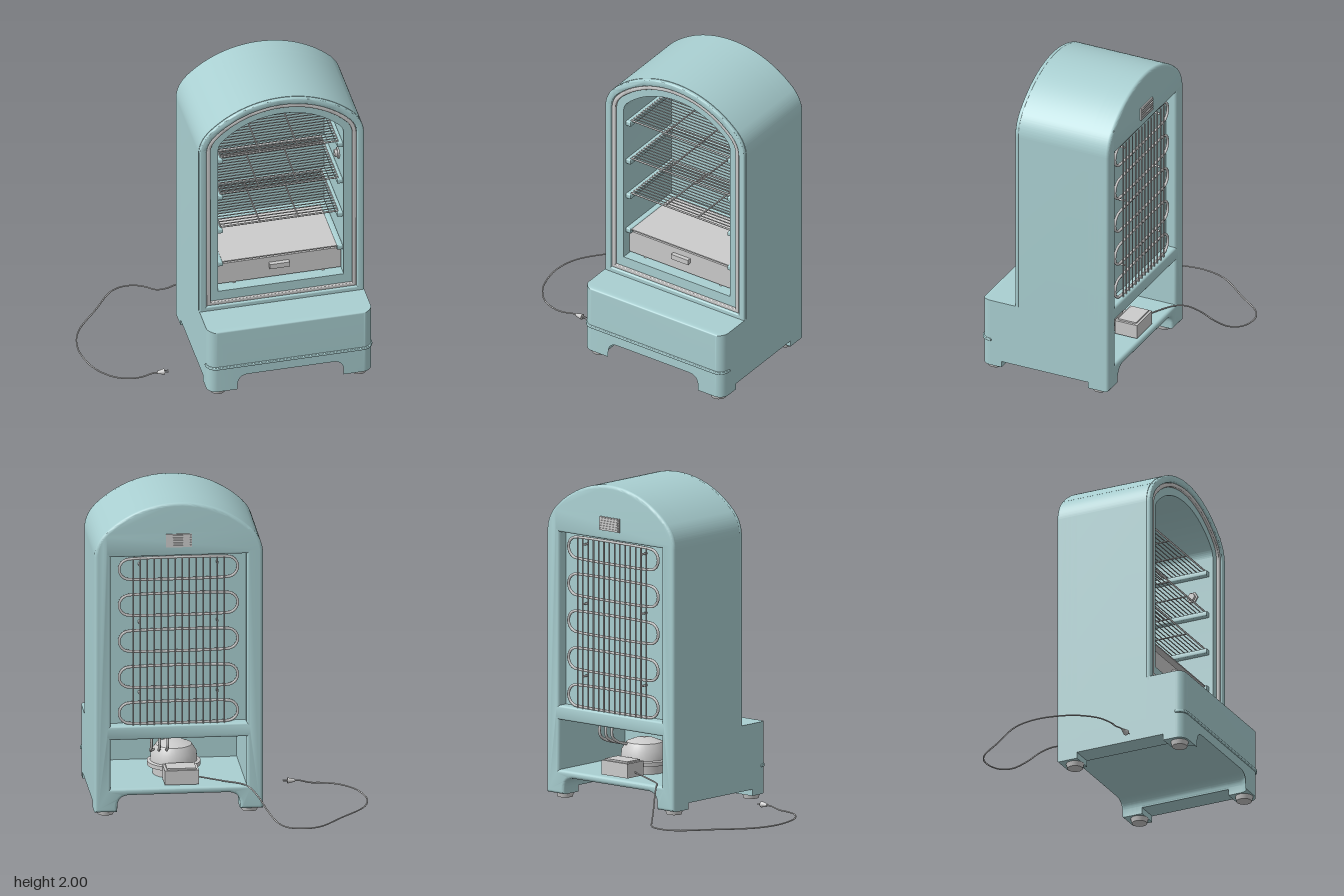
import * as THREE from 'three';
import { toCreasedNormals } from 'three/addons/utils/BufferGeometryUtils.js';

const teal = new THREE.MeshStandardMaterial({ color: 0xa9cfd1 });
const grey = new THREE.MeshStandardMaterial({ color: 0xcccccc });

const H = 0.518;          // half width of the cabinet
const BIG = 0.647;        // radius of the crown
const SHOULDER = 0.21;    // radius of the shoulders
const SY = 1.662;         // height where the shoulders begin

function mesh(name, geometry, material, x = 0, y = 0, z = 0) {
  const m = new THREE.Mesh(geometry, material);
  m.name = name;
  m.position.set(x, y, z);
  return m;
}
const box = (name, w, h, d, mat, x, y, z) => mesh(name, new THREE.BoxGeometry(w, h, d), mat, x, y, z);
const V = (x, y, z) => new THREE.Vector3(x, y, z);

function tube(name, pts, r, mat, closed = false, segs = 80) {
  const curve = new THREE.CatmullRomCurve3(pts, closed, 'centripetal');
  return mesh(name, new THREE.TubeGeometry(curve, segs, r, 6, closed), mat);
}

// Thin straight wire along x, y or z
function rod(name, axis, length, r, mat, x, y, z) {
  const g = new THREE.CylinderGeometry(r, r, length, 6);
  if (axis === 'x') g.rotateZ(Math.PI / 2);
  if (axis === 'z') g.rotateX(Math.PI / 2);
  return mesh(name, g, mat, x, y, z);
}

// Extrude along z from z0 to z1, with optional rounded edges inside that span
function slab(name, shape, z0, z1, mat, bevel = 0) {
  const g = new THREE.ExtrudeGeometry(shape, {
    depth: z1 - z0 - 2 * bevel, curveSegments: 20, bevelEnabled: bevel > 0,
    bevelThickness: bevel, bevelSize: bevel, bevelOffset: -bevel, bevelSegments: 4,
  });
  g.translate(0, 0, z0 + bevel);
  return mesh(name, toCreasedNormals(g, 0.6), mat);
}

// Crown and shoulders, inset by d, drawn from right to left
function crown(s, d) {
  const q = Math.PI / 4, c = H - SHOULDER;
  s.lineTo(H - d, SY);
  s.absarc(c, SY, SHOULDER - d, 0, q, false);
  s.absarc(0, 2 - BIG, BIG - d, q, 3 * q, false);
  s.absarc(-c, SY, SHOULDER - d, 3 * q, Math.PI, false);
}
function arch(d, bottom) {
  const s = new THREE.Shape();
  s.moveTo(-H + d, bottom);
  s.lineTo(H - d, bottom);
  crown(s, d);
  s.closePath();
  return s;
}
// Cabinet section standing on legs; flat top if a height is given
function section(foot, holes = [], top = 0) {
  const s = new THREE.Shape();
  s.moveTo(-H, foot);
  s.lineTo(-0.378, foot);
  s.lineTo(-0.377, 0.071);
  s.quadraticCurveTo(-0.37, 0.135, -0.3, 0.135);
  s.lineTo(0.3, 0.135);
  s.quadraticCurveTo(0.37, 0.135, 0.377, 0.071);
  s.lineTo(0.378, foot);
  s.lineTo(H, foot);
  if (top) { s.lineTo(H, top); s.lineTo(-H, top); } else crown(s, 0);
  s.closePath();
  s.holes.push(...holes);
  return s;
}
function rect(w, y0, y1) {
  const p = new THREE.Shape();
  p.moveTo(-w, y0); p.lineTo(w, y0); p.lineTo(w, y1); p.lineTo(-w, y1);
  p.closePath();
  return p;
}
function ring(outer, inner) {
  outer.holes.push(inner);
  return outer;
}

function cabinet() {
  const g = new THREE.Group();
  g.name = 'cabinet';
  const recess = rect(0.418, 0.58, 1.66), bay = rect(0.418, 0.18, 0.49), inside = arch(0.123, 0.6);
  g.add(slab('backFrame', section(0.03, [recess, bay]), -0.26, -0.218, teal, 0.02));
  g.add(slab('coilRecess', section(0.03, [recess, bay]), -0.239, -0.19, teal));
  g.add(slab('backPanel', section(0.03, [bay]), -0.19, -0.16, teal));
  g.add(slab('rearLegSection', section(0.03, [inside, bay]), -0.16, -0.12, teal));
  g.add(slab('shell', section(0.07, [inside, bay]), -0.12, 0.355, teal));
  g.add(slab('frontRim', ring(arch(0, 0.46), arch(0.045, 0.51)), 0.352, 0.38, teal, 0.01));
  g.add(slab('doorGasket', ring(arch(0.046, 0.511), arch(0.072, 0.535)), 0.352, 0.372, grey, 0.006));
  return g;
}

function base() {
  const g = new THREE.Group();
  g.name = 'base';
  g.add(slab('baseMiddle', section(0.07, [], 0.48), 0.355, 0.47, teal));
  g.add(slab('baseLegSection', section(0.03, [], 0.48), 0.47, 0.55, teal));
  // Front part: the vertical corners curve round in plan, the top edge softens
  const r = 0.06;
  const geo = new THREE.ExtrudeGeometry(section(0.03, [], 0.48), { depth: 1, steps: 10, bevelEnabled: false });
  const p = geo.attributes.position;
  for (let i = 0; i < p.count; i++) {
    const a = p.getZ(i) * Math.PI / 2, drop = 1 - Math.cos(a);
    p.setX(i, p.getX(i) * (H - r * drop) / H);
    if (p.getY(i) > 0.4) p.setY(i, p.getY(i) - 0.014 * drop ** 2);
    p.setZ(i, 0.55 + r * Math.sin(a));
  }
  g.add(mesh('baseFront', toCreasedNormals(geo, 0.6), teal));
  // Trim strip wrapped round the front
  const w = H + 0.008, s = new THREE.Shape();
  s.moveTo(-w, -0.54);
  s.absarc(-w + 0.07, -0.55, 0.07, Math.PI, 1.5 * Math.PI, false);
  s.absarc(w - 0.07, -0.55, 0.07, 1.5 * Math.PI, 2 * Math.PI, false);
  s.lineTo(w, -0.54);
  s.closePath();
  const trim = slab('trimStrip', s, 0, 0.018, teal, 0.005);
  trim.rotation.x = -Math.PI / 2;
  trim.position.y = 0.197;
  g.add(trim);
  for (const x of [-0.443, 0.443]) for (const z of [-0.17, 0.545]) {
    g.add(mesh('foot', new THREE.CylinderGeometry(0.055, 0.047, 0.032, 24), grey, x, 0.016, z));
  }
  return g;
}

function interior() {
  const g = new THREE.Group();
  g.name = 'interior';
  // U-shaped ledge along both sides and the back
  const u = new THREE.Shape([[-0.398, -0.33], [-0.36, -0.33], [-0.36, 0.12], [0.36, 0.12], [0.36, -0.33],
    [0.398, -0.33], [0.398, 0.163], [-0.398, 0.163]].map(([x, y]) => new THREE.Vector2(x, y)));
  [1.54, 1.265, 1.013, 0.765].forEach((y, level) => {
    const ledge = slab('shelfLedge', u, 0, 0.035, teal, 0.008);
    ledge.rotation.x = -Math.PI / 2;
    ledge.position.y = y;
    g.add(ledge);
    if (level === 3) {
      g.add(box('solidShelf', 0.74, 0.008, 0.46, grey, 0, y + 0.026, 0.09));
      return;
    }
    // Wire rack
    const rack = new THREE.Group();
    rack.name = 'wireRack';
    rack.position.set(0, y + 0.037, 0.09);
    for (let i = 0; i <= 16; i++) {
      const end = i % 16 === 0;
      rack.add(rod('rackWire', 'x', 0.74, end ? 0.006 : 0.0035, grey, 0, 0, -0.22 + i * 0.0275));
    }
    for (const x of [-0.37, -0.12, 0.12, 0.37]) rack.add(rod('rackBar', 'z', 0.44, 0.005, grey, x, -0.005, 0));
    g.add(rack);
  });
  // Drawer
  g.add(box('drawer', 0.78, 0.148, 0.43, grey, 0, 0.69, 0.085));
  g.add(box('drawerHandle', 0.125, 0.034, 0.03, grey, 0, 0.708, 0.312));
  for (const x of [-0.28, 0.28]) g.add(rod('drawerRunner', 'z', 0.4, 0.01, grey, x, 0.607, 0.09));
  // Lamp on the back wall and dial on the side wall
  const lamp = new THREE.CylinderGeometry(0.06, 0.06, 0.02, 32).rotateX(Math.PI / 2);
  g.add(mesh('lamp', lamp, grey, 0, 1.73, -0.153));
  g.add(rod('dialPlate', 'x', 0.012, 0.036, grey, 0.39, 1.42, 0.22));
  g.add(rod('dialKnob', 'x', 0.03, 0.024, grey, 0.382, 1.42, 0.22));
  return g;
}

function machinery() {
  const g = new THREE.Group();
  g.name = 'coolingUnit';
  // Looped condenser tubes
  for (let i = 0; i < 5; i++) {
    const y = 1.575 - i * 0.23, loop = [], r = 0.065;
    for (const side of [1, -1]) for (let k = 0; k <= 8; k++) {
      const a = -Math.PI / 2 + k * Math.PI / 8;
      loop.push(V(side * (0.3 + r * Math.cos(a)), y + side * r * Math.sin(a), -0.228));
    }
    g.add(tube('condenserLoop', loop, 0.009, grey, true, 96));
  }
  for (let i = 0; i < 14; i++) g.add(rod('condenserWire', 'y', 1.06, 0.005, grey, -0.28 + i * 0.043, 1.11, -0.242));
  for (const x of [-0.24, 0.24]) for (const y of [0.78, 1.23, 1.6]) g.add(rod('coilBracket', 'z', 0.05, 0.007, grey, x, y, -0.21));
  // Compressor dome
  const dome = [[0, 0.18], [0.13, 0.18], [0.13, 0.23], [0.165, 0.235], [0.165, 0.26], [0.145, 0.265], [0.14, 0.32], [0.11, 0.365], [0.06, 0.385], [0, 0.39]];
  const lathe = new THREE.LatheGeometry(dome.map(([x, y]) => new THREE.Vector2(x, y)), 32);
  g.add(mesh('compressor', toCreasedNormals(lathe, 0.6), grey, 0, 0, 0.06));
  g.add(box('controlBox', 0.21, 0.09, 0.15, grey, -0.02, 0.235, -0.165));
  g.add(box('controlBoxLid', 0.18, 0.012, 0.12, grey, -0.02, 0.284, -0.165));
  for (const x of [0.06, 0.11, 0.16]) {
    g.add(tube('coolantPipe', [V(x, 0.5, -0.17), V(x, 0.42, -0.17), V(x, 0.38, -0.12), V(x * 0.8, 0.34, 0.03)], 0.009, grey, false, 20));
  }
  // Back vent
  g.add(box('ventPlate', 0.16, 0.085, 0.012, grey, 0, 1.76, -0.262));
  for (let i = 0; i < 5; i++) g.add(box('ventSlat', 0.15, 0.008, 0.014, grey, 0, 1.728 + i * 0.016, -0.267));
  return g;
}

function powerCord() {
  const g = new THREE.Group();
  g.name = 'powerCord';
  const path = [[0.21, 0.22, -0.17], [0.05, 0.195, -0.2], [-0.055, 0.192, -0.26], [-0.1, 0.185, -0.32], [-0.15, 0.14, -0.39],
    [-0.2, 0.07, -0.46], [-0.25, 0.02, -0.53], [-0.3, 0.007, -0.59], [-0.35, 0.006, -0.618], [-0.41, 0.006, -0.628],
    [-0.47, 0.006, -0.618], [-0.53, 0.006, -0.58], [-0.65, 0.006, -0.43], [-0.79, 0.006, -0.26], [-0.835, 0.006, -0.16],
    [-0.85, 0.006, -0.04], [-0.83, 0.006, 0.08], [-0.79, 0.006, 0.18], [-0.7, 0.006, 0.28], [-0.6, 0.006, 0.318], [-0.54, 0.008, 0.32], [-0.47, 0.024, 0.32], [-0.43, 0.025, 0.32]];
  g.add(tube('cord', path.map((p) => V(...p)), 0.005, grey, false, 200));
  // Plug with two pins
  const body = new THREE.CylinderGeometry(0.019, 0.009, 0.045, 16).rotateZ(-Math.PI / 2);
  g.add(mesh('plug', body, grey, -0.42, 0.025, 0.32));
  for (const z of [0.311, 0.329]) g.add(rod('plugPin', 'x', 0.03, 0.003, grey, -0.385, 0.025, z));
  return g;
}

export function createModel() {
  const model = new THREE.Group();
  model.name = 'refrigerator';
  const body = new THREE.Group();
  body.name = 'body';
  body.position.x = 0.328;
  body.add(cabinet(), base(), interior(), machinery());
  model.add(body, powerCord());
  return model;
}
